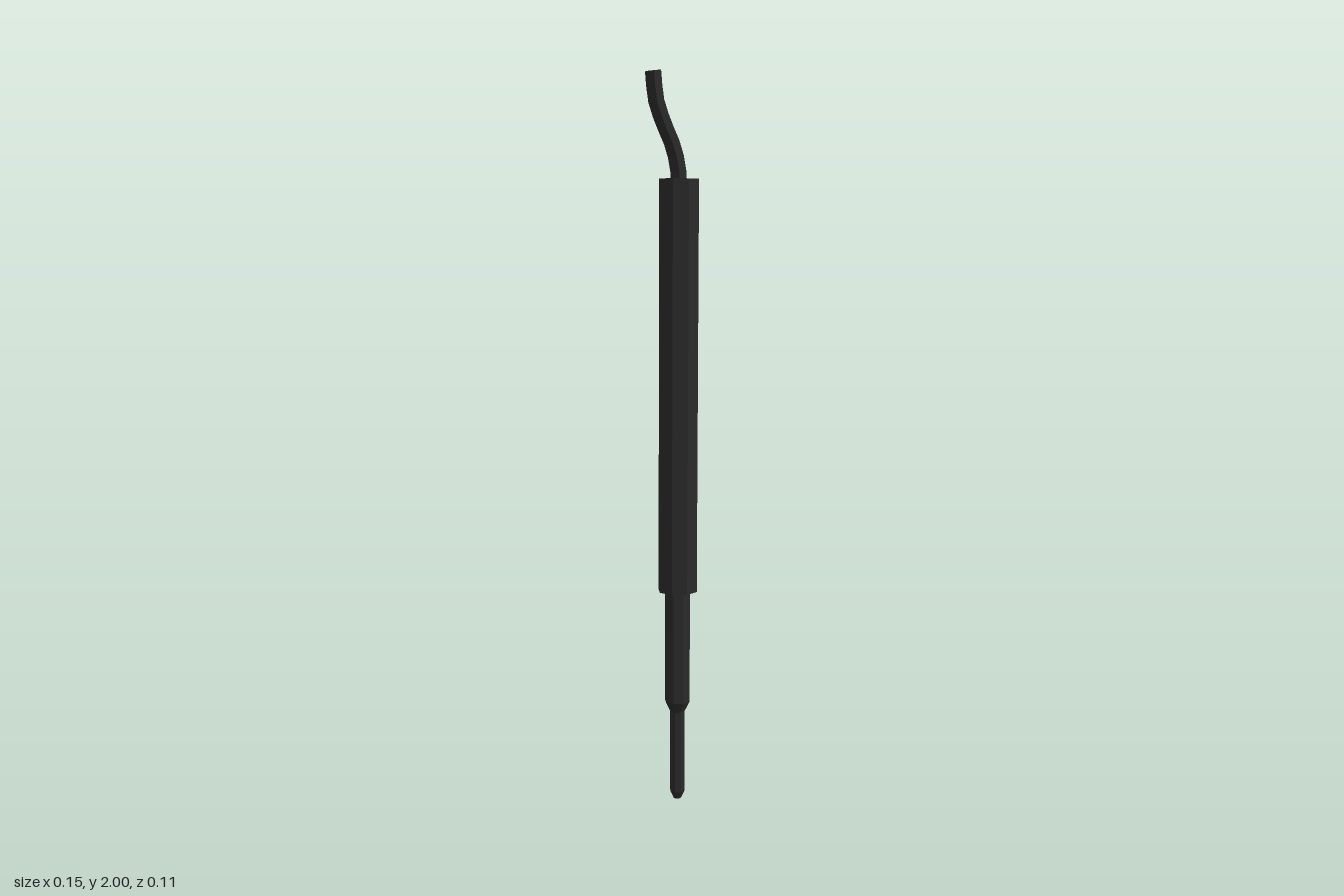
import * as THREE from 'three';

export function createModel() {
  const model = new THREE.Group();
  const charcoal = new THREE.MeshStandardMaterial({ color: 0x2b2b2b, flatShading: true });
  charcoal.name = 'charcoal';
  const phase = 0.51;

  const add = (name, geometry) => {
    const mesh = new THREE.Mesh(geometry, charcoal);
    mesh.name = name;
    model.add(mesh);
    return mesh;
  };
  const lathe = (points) =>
    new THREE.LatheGeometry(points.map(([r, y]) => new THREE.Vector2(r, y)), 8, phase);

  // Stepped probe: blunt tip, thin pin, shoulder and thicker shaft
  const probe = add('probe', lathe([
    [0, 0], [0.011, 0], [0.021, 0.022], [0.021, 0.255],
    [0.036, 0.285], [0.036, 0.61],
  ]));
  probe.position.set(0.017, 0, 0);

  // Octagonal sleeve, leaning very slightly, with a shallow cable socket on top
  const sleeve = add('sleeve', lathe([
    [0, 0], [0.055, 0], [0.055, 1.12], [0.031, 1.12], [0.029, 1.115], [0, 1.115],
  ]));
  sleeve.position.set(0.018, 0.6, 0);
  sleeve.rotation.z = -0.004;

  // Bent cable: rings of a capped cylinder carried along a curve
  const path = new THREE.CatmullRomCurve3([
    [0.023, 1.70, 0], [0.019, 1.755, -0.002], [0.003, 1.81, -0.006],
    [-0.025, 1.862, -0.009], [-0.047, 1.92, -0.014], [-0.055, 1.995, -0.017],
  ].map((p) => new THREE.Vector3(...p)));
  const cable = new THREE.CylinderGeometry(0.023, 0.023, 1, 6, 8, false, 0.4);
  const position = cable.attributes.position;
  const up = new THREE.Vector3(0, 1, 0);
  const turn = new THREE.Quaternion();
  const v = new THREE.Vector3();
  for (let i = 0; i < position.count; i++) {
    v.fromBufferAttribute(position, i);
    const t = THREE.MathUtils.clamp(v.y + 0.5, 0, 1);
    v.y = 0;
    turn.setFromUnitVectors(up, path.getTangentAt(t));
    v.applyQuaternion(turn).add(path.getPointAt(t));
    position.setXYZ(i, v.x, v.y, v.z);
  }
  cable.computeVertexNormals();
  add('cable', cable);

  return model;
}
